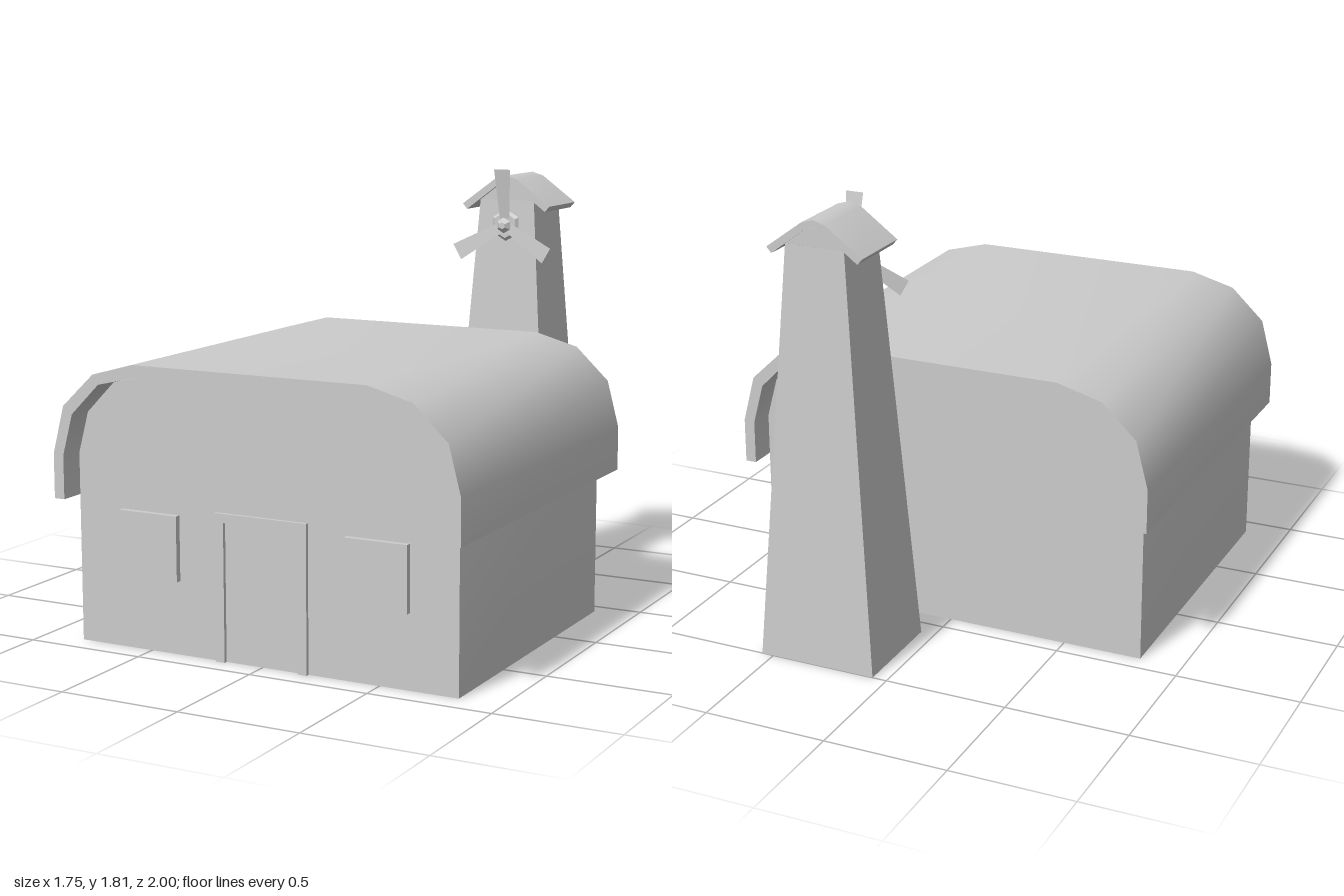
import * as THREE from 'three';
import { toCreasedNormals } from 'three/addons/utils/BufferGeometryUtils.js';

const grey = new THREE.MeshStandardMaterial({ color: 0xcccccc });
const sheetGrey = new THREE.MeshStandardMaterial({ color: 0xcccccc, side: THREE.DoubleSide });

function add(parent, name, geometry, material = grey) {
  const mesh = new THREE.Mesh(geometry, material);
  mesh.name = name;
  parent.add(mesh);
  return mesh;
}

// Complete a right-hand half profile (eave to ridge) with its mirror image
const mirrored = half => [...half, ...half.filter(p => p[0] > 0).reverse().map(([x, y]) => [-x, y])];
const toShape = pts => new THREE.Shape(pts.map(([x, y]) => new THREE.Vector2(x, y)));

function extrude(shape, z0, z1) {
  return new THREE.ExtrudeGeometry(shape, { depth: z1 - z0, bevelEnabled: false }).translate(0, 0, z0);
}

// Solid curved roof between an outer and an inner profile
function roofGeometry(outer, inner, z0, z1) {
  const shape = toShape([...mirrored(outer), ...mirrored(inner).reverse()]);
  return toCreasedNormals(extrude(shape, z0, z1), 0.75);
}

// Open sheet swept along z from a profile
function sheetGeometry(pts, z0, z1) {
  const pos = [];
  for (let i = 0; i < pts.length - 1; i++) {
    const [a, b] = [pts[i], pts[i + 1]];
    pos.push(...a, z1, ...a, z0, ...b, z0, ...a, z1, ...b, z0, ...b, z1);
  }
  const g = new THREE.BufferGeometry();
  g.setAttribute('position', new THREE.Float32BufferAttribute(pos, 3));
  return toCreasedNormals(g, 0.75);
}

function box(parent, name, w, h, d, x, y, z) {
  add(parent, name, new THREE.BoxGeometry(w, h, d)).position.set(x, y, z);
}

function createBarn() {
  const barn = new THREE.Group();
  barn.name = 'barn';
  const front = 0.9, back = -0.425;

  // Hollow walls, open underneath
  const profile = mirrored([[0.825, 0], [0.825, 0.76], [0.78, 0.925], [0.657, 1.05], [0.49, 1.09]]);
  add(barn, 'sideWalls', sheetGeometry(profile, back, front), sheetGrey);
  const endWall = new THREE.ShapeGeometry(toShape(profile));
  add(barn, 'frontWall', endWall, sheetGrey).position.z = front;
  const rear = add(barn, 'backWall', endWall, sheetGrey);
  rear.position.z = back;
  rear.rotation.y = Math.PI;

  // Curved overhanging roof
  add(barn, 'barnRoof', roofGeometry(
    [[0.875, 0.59], [0.875, 0.77], [0.825, 0.96], [0.685, 1.093], [0.5, 1.143]],
    [[0.83, 0.59], [0.83, 0.765], [0.785, 0.93], [0.66, 1.055], [0.49, 1.095]],
    -0.53, 1));

  // Door frame passing through the wall, and window panels
  const frame = toShape([[-0.2, 0], [-0.16, 0], [-0.16, 0.55], [0.16, 0.55], [0.16, 0], [0.2, 0], [0.2, 0.585], [-0.2, 0.585]]);
  add(barn, 'doorFrame', extrude(frame, 0.885, 0.915));
  for (const side of [-1, 1]) box(barn, 'window', 0.26, 0.26, 0.03, side * 0.495, 0.425, 0.91);
  return barn;
}

function createFan() {
  const fan = new THREE.Group();
  fan.name = 'fan';

  // Three widening blades leaning slightly forward
  const blade = new THREE.ShapeGeometry(toShape([[-0.022, 0.03], [0.022, 0.03], [0.037, 0.24], [-0.037, 0.24]]));
  blade.rotateX(0.15);
  for (let i = 0; i < 3; i++) {
    add(fan, 'blade', blade, sheetGrey).rotation.z = i * Math.PI * 2 / 3;
  }

  // Hub: faceted plate, shaft and nose
  const hubPart = (name, r0, r1, length, z) => {
    const g = new THREE.CylinderGeometry(r1, r0, length, 6).toNonIndexed();
    g.rotateX(Math.PI / 2);
    g.computeVertexNormals();
    add(fan, name, g).position.z = z;
  };
  hubPart('hubPlate', 0.068, 0.055, 0.012, -0.004);
  hubPart('hubShaft', 0.02, 0.02, 0.06, -0.01);
  hubPart('hubNose', 0.033, 0.015, 0.018, 0.022);
  return fan;
}

function createTower() {
  const tower = new THREE.Group();
  tower.name = 'windmillTower';
  tower.position.set(0.305, 0, -0.788);

  // Tapering four-sided body, open at the base
  const h = 1.68;
  const body = new THREE.BoxGeometry(2, h, 2).translate(0, h / 2, 0);
  const p = body.attributes.position;
  for (let i = 0; i < p.count; i++) {
    const y = p.getY(i);
    p.setX(i, p.getX(i) * (0.245 - 0.0725 * y));
    p.setZ(i, p.getZ(i) * (0.212 - 0.048 * y));
  }
  body.setIndex([...body.index.array].filter((_, i) => i < 12 || i >= 24));
  body.computeVertexNormals();
  add(tower, 'towerBody', body, sheetGrey);

  // Gable filling the space under the cap
  add(tower, 'towerGable', extrude(toShape([[-0.123, h], [0.123, h], [0.045, 1.74], [0, 1.755], [-0.045, 1.74]]), -0.131, 0.131));

  // Small curved cap
  add(tower, 'towerRoof', roofGeometry(
    [[0.2, 1.66], [0.05, 1.77], [0, 1.785]],
    [[0.18, 1.637], [0.04, 1.742], [0, 1.757]],
    -0.137, 0.146));

  const fan = createFan();
  fan.position.set(0, 1.575, 0.152);
  tower.add(fan);
  return tower;
}

export function createModel() {
  const model = new THREE.Group();
  model.name = 'barnWithWindmill';
  model.add(createBarn(), createTower());
  return model;
}
